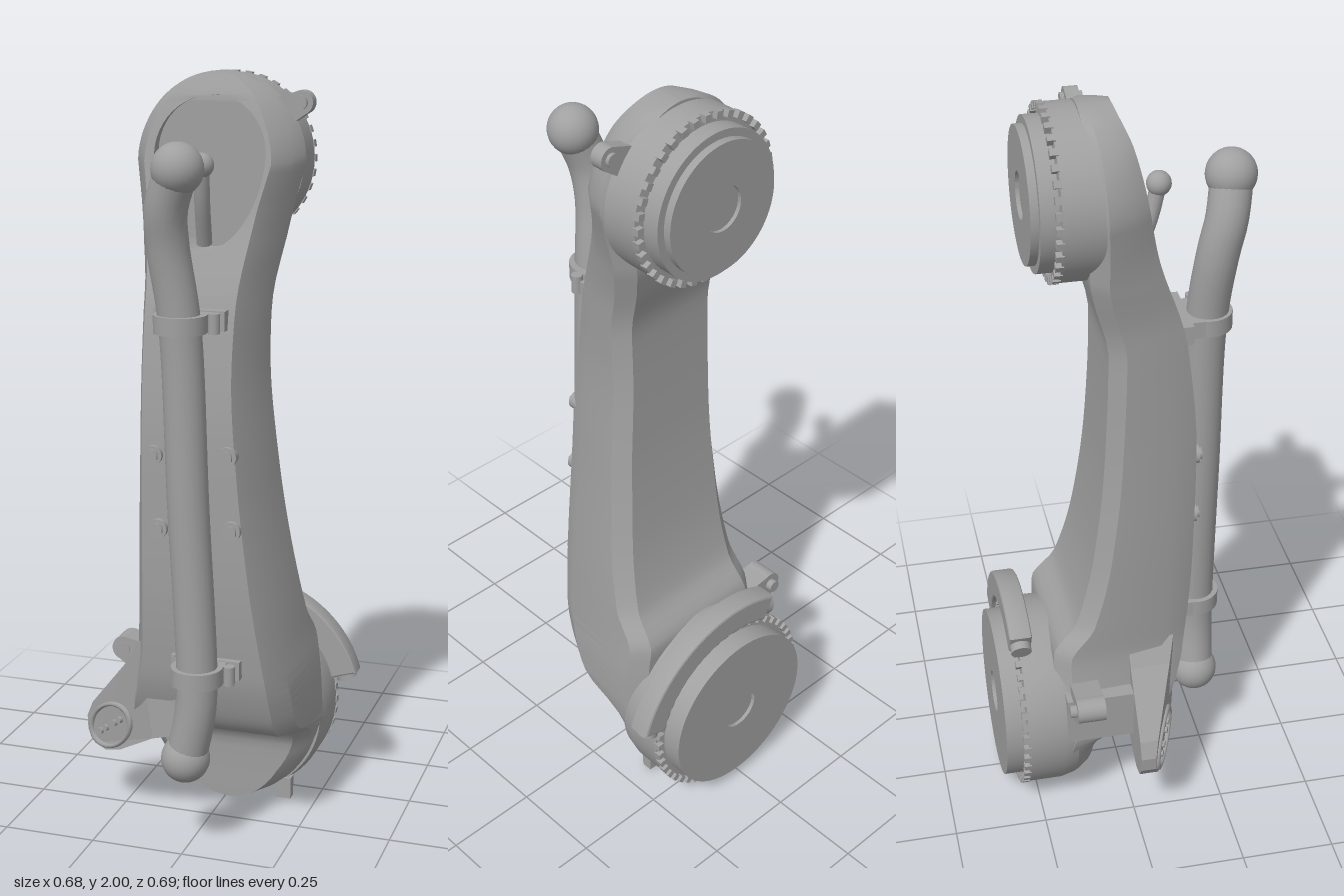
import * as THREE from 'three';
import { toCreasedNormals } from 'three/addons/utils/BufferGeometryUtils.js';

const grey = new THREE.MeshStandardMaterial({ color: 0xa0a0a0 });
grey.name = 'machine grey';

// Smooth interpolation through [y, value] pairs without overshoot
function along(table, y) {
  const n = table.length - 1;
  if (y <= table[0][0]) return table[0][1];
  if (y >= table[n][0]) return table[n][1];
  let i = 0;
  while (y > table[i + 1][0]) i++;
  const slope = k => (table[k + 1][1] - table[k][1]) / (table[k + 1][0] - table[k][0]);
  const tangent = k => {
    if (k === 0) return slope(0);
    if (k === n) return slope(n - 1);
    const a = slope(k - 1), b = slope(k);
    return a * b <= 0 ? 0 : (2 * a * b) / (a + b);
  };
  const h = table[i + 1][0] - table[i][0], t = (y - table[i][0]) / h;
  return (2 * t ** 3 - 3 * t * t + 1) * table[i][1] + (t ** 3 - 2 * t * t + t) * h * tangent(i)
    + (3 * t * t - 2 * t ** 3) * table[i + 1][1] + (t ** 3 - t * t) * h * tangent(i + 1);
}

const LOW = { x: 0.015, y: 0.265, r: 0.255 };
const TOP = { x: 0.01, y: 1.78, r: 0.22 };
const leftEdge = [[0.265, -0.24], [0.35, -0.225], [0.42, -0.205], [0.52, -0.187], [0.8, -0.175], [1.2, -0.165], [1.45, -0.165], [1.6, -0.185], [1.78, -0.21]];
const rightEdge = [[0.265, 0.27], [0.4, 0.262], [0.6, 0.235], [1, 0.18], [1.3, 0.156], [1.45, 0.16], [1.6, 0.185], [1.78, 0.23]];
const frontZ = [[0.01, -0.11], [0.19, -0.1], [0.235, -0.07], [0.3, 0.09], [0.36, 0.125], [0.47, 0.155], [0.75, 0.18], [1.07, 0.185], [1.4, 0.155], [1.66, 0.075], [1.93, 0.02], [2, -0.01]];
const backZ = [[0, -0.2], [0.5, -0.2], [0.6, -0.135], [0.81, -0.085], [1.1, -0.055], [1.4, -0.045], [1.55, -0.08], [1.62, -0.092], [2, -0.092]];

// Arm cross-section at height y, with a teardrop recess near the top
function section(y) {
  let xl = along(leftEdge, y), xr = along(rightEdge, y);
  for (const [c, end] of [[LOW, y < LOW.y], [TOP, y > TOP.y]]) if (end) {
    const w = Math.sqrt(Math.max(0, c.r ** 2 - (y - c.y) ** 2));
    xl = c.x - w; xr = c.x + w;
  }
  const f = along(frontZ, y), b = along(backZ, y), s = Math.min(1, (xr - xl) / 0.4);
  const d = Math.min(0.07, (f - b) * 0.35), e = Math.min(0.04, (f - b) * 0.25);
  const u = y > 1.8 ? ((y - 1.8) / 0.145) ** 2 : ((1.8 - y) / 0.23) ** 1.8;
  const h = u < 1 ? 0.145 * Math.sqrt(1 - u) : 0;
  const m = h ? TOP.x : (xl + xr) / 2, floor = h ? Math.min(f, 0.014) : f;
  return [[xl, b + e], [xl + 0.015 * s, f - d], [xl + 0.05 * s, f], [m - h, f], [m - h, floor], [m + h, floor],
    [m + h, f], [xr - 0.06 * s, f], [xr - 0.02 * s, f - d], [xr, b + e], [xr - 0.04 * s, b], [xl + 0.04 * s, b]]
    .map(([x, z]) => [x, y, z]);
}

function armGeometry() {
  const rows = [];
  const span = (a, b, n, ease) => { for (let i = 0; i < n; i++) rows.push(a + (b - a) * ease(i / n)); };
  const cosIn = t => 1 - Math.cos(t * Math.PI / 2), sinOut = t => Math.sin(t * Math.PI / 2);
  span(LOW.y - LOW.r, LOW.y, 16, cosIn);
  span(LOW.y, 0.6, 16, t => t);
  span(0.6, 1.57, 24, t => t);
  span(1.57, 1.8, 18, cosIn);
  span(1.8, 1.945, 12, sinOut);
  span(1.945, 2, 10, sinOut);
  rows.push(2);
  const rings = rows.map(section), pos = [];
  for (let i = 0; i < rings.length - 1; i++) for (let j = 0; j < 12; j++) {
    const k = (j + 1) % 12;
    const [a, b, c, d] = [rings[i][j], rings[i][k], rings[i + 1][k], rings[i + 1][j]];
    pos.push(...a, ...b, ...c, ...a, ...c, ...d);
  }
  const g = new THREE.BufferGeometry();
  g.setAttribute('position', new THREE.Float32BufferAttribute(pos, 3));
  return toCreasedNormals(g, 0.45);
}

export function createModel() {
  const model = new THREE.Group();
  model.name = 'jointedArmLink';
  const add = (name, geometry, x = 0, y = 0, z = 0, parent = model) => {
    const m = new THREE.Mesh(geometry, grey);
    m.name = name;
    m.position.set(x, y, z);
    parent.add(m);
    return m;
  };
  const disc = (r, depth, sides = 24) => new THREE.CylinderGeometry(r, r, depth, sides).rotateX(Math.PI / 2);

  add('armBody', armGeometry());

  // Joint drums turned about z, with toothed rims and a recessed centre
  const joint = (name, c, r, profile, teeth, toothZ) => {
    const g = new THREE.Group();
    g.name = name;
    g.position.set(c.x, c.y, 0);
    model.add(g);
    const lathe = new THREE.LatheGeometry(profile.map(p => new THREE.Vector2(...p)), 64).rotateX(-Math.PI / 2);
    add(name + 'Drum', toCreasedNormals(lathe, 0.5), 0, 0, 0, g);
    const tooth = new THREE.BoxGeometry(0.018, 0.018, 0.02);
    for (let i = 0; i < teeth; i++) {
      const a = (i / teeth) * Math.PI * 2;
      add('rimTooth', tooth, Math.cos(a) * (r - 0.006), Math.sin(a) * (r - 0.006), toothZ, g).rotation.z = a;
    }
  };
  joint('upperJoint', TOP, 0.213, [[0, 0.06], [0.213, 0.06], [0.213, 0.163], [0.187, 0.165], [0.187, 0.21],
    [0.167, 0.21], [0.167, 0.23], [0.058, 0.23], [0.058, 0.22], [0, 0.22]], 36, -0.168);
  joint('lowerJoint', LOW, 0.26, [[0, 0.15], [0.25, 0.15], [0.26, 0.19], [0.26, 0.287], [0.232, 0.29],
    [0.232, 0.345], [0.058, 0.345], [0.058, 0.335], [0, 0.335]], 46, -0.292);

  // Hose with ball ends
  const path = [[0.01, 1.79, 0.288], [-0.025, 1.69, 0.27], [-0.028, 1.6, 0.25], [-0.005, 1.41, 0.232], [0.015, 0.95, 0.23],
    [0.037, 0.5, 0.23], [0.033, 0.4, 0.23], [0.005, 0.26, 0.228]].map(p => new THREE.Vector3(...p));
  add('hose', new THREE.TubeGeometry(new THREE.CatmullRomCurve3(path), 60, 0.053, 20));
  const ball = new THREE.SphereGeometry(0.064, 28, 18);
  add('hoseUpperBall', ball, 0.01, 1.788, 0.286);
  add('hoseLowerBall', ball, 0.005, 0.267, 0.228);

  // Hose clamps
  for (const [x, y] of [[-0.004, 1.41], [0.037, 0.502]]) {
    const g = new THREE.Group();
    g.name = 'hoseClamp';
    g.position.set(x, y, 0.23);
    model.add(g);
    add('clampRing', new THREE.CylinderGeometry(0.067, 0.067, 0.045, 28), 0, 0, 0, g);
    add('clampFoot', new THREE.BoxGeometry(0.185, 0.05, 0.035), 0.005, 0, -0.068, g);
    add('clampNeck', new THREE.BoxGeometry(0.13, 0.045, 0.06), 0, 0, -0.04, g);
    add('clampScrew', new THREE.CylinderGeometry(0.015, 0.015, 0.05, 12), 0.08, 0, -0.02, g);
  }

  // Lever inside the teardrop recess
  const stem = new THREE.CatmullRomCurve3([new THREE.Vector3(0.01, 1.78, 0.108),
    new THREE.Vector3(0.004, 1.69, 0.085), new THREE.Vector3(-0.005, 1.58, 0.04)]);
  add('leverStem', new THREE.TubeGeometry(stem, 16, 0.02, 12));
  add('leverBall', new THREE.SphereGeometry(0.031, 20, 14), 0.01, 1.78, 0.108);

  // Front bolts
  for (const [x, y] of [[-0.092, 1.062], [0.104, 1.072], [-0.08, 0.87], [0.115, 0.88]]) {
    add('boltWasher', disc(0.025, 0.03), x, y, 0.182);
    add('boltHead', disc(0.017, 0.03, 6), x, y, 0.19);
  }

  // Lugs with a rounded tip and a pin
  const lug = (name, x, y, angle, r, length, width, z, depth, pinZ) => {
    const s = new THREE.Shape();
    s.moveTo(-length, -width);
    s.lineTo(0, -r);
    s.absarc(0, 0, r, -Math.PI / 2, Math.PI / 2, false);
    s.lineTo(-length, width);
    const g = new THREE.Group();
    g.name = name;
    g.position.set(x, y, 0);
    g.rotation.z = angle;
    model.add(g);
    add(name + 'Plate', new THREE.ExtrudeGeometry(s, { depth, bevelEnabled: false, curveSegments: 12 }), 0, 0, z, g);
    add(name + 'Pin', disc(0.017, depth + 0.02, 16), 0, 0, pinZ, g);
  };
  lug('upperLug', 0.217, 1.925, 0.45, 0.03, 0.1, 0.045, -0.083, 0.035, -0.065);
  lug('lowerLug', -0.286, 0.42, 2.75, 0.034, 0.15, 0.07, -0.165, 0.075, -0.135);

  // Side ear: a flat-backed plate whose front slopes toward the arm
  const earShape = new THREE.Shape([[-0.16, 0.53], [-0.2, 0.465], [-0.325, 0.31], [-0.345, 0.265], [-0.343, 0.225], [-0.32, 0.192],
    [-0.28, 0.183], [-0.23, 0.2], [-0.12, 0.265], [-0.02, 0.29], [-0.06, 0.5]].map(p => new THREE.Vector2(...p)));
  const ear = new THREE.ExtrudeGeometry(earShape, { depth: 1, bevelEnabled: false });
  const slope = x => Math.min(0.135, 0.04 + (x + 0.345) * 0.46);
  const p = ear.attributes.position;
  for (let i = 0; i < p.count; i++) p.setZ(i, p.getZ(i) * slope(p.getX(i)));
  ear.computeVertexNormals();
  add('sideEar', ear);
  add('earBridge', new THREE.BoxGeometry(0.12, 0.14, 0.2), -0.18, 0.34, -0.08);

  // Oval pad on the ear
  const pad = new THREE.Group();
  pad.name = 'earPad';
  pad.position.set(-0.262, 0.262, slope(-0.262));
  pad.rotation.set(0, -Math.atan(0.46), 0);
  model.add(pad);
  const oval = new THREE.Group();
  oval.rotation.z = 0.62;
  oval.name = 'ovalPad';
  pad.add(oval);
  add('padRim', new THREE.TorusGeometry(0.074, 0.008, 8, 36).scale(1.12, 0.75, 1), 0, 0, 0, oval);
  for (const x of [-0.045, -0.02, 0.02, 0.045]) add('padPin', disc(0.009, 0.012, 12), x, 0, 0.002, oval);

  // Curved guard over the lower rim
  const a0 = 0.3, a1 = 2.02, band = new THREE.Shape();
  band.absarc(0, 0, 0.33, a0, a1, false);
  band.absarc(0, 0, 0.268, a1, a0, true);
  add('rimGuard', toCreasedNormals(new THREE.ExtrudeGeometry(band, { depth: 0.045, bevelThickness: 0.008, bevelSize: 0.006,
    bevelSegments: 2, curveSegments: 32 }), 0.5), LOW.x, LOW.y, -0.307);
  for (const [a, r] of [[a0 + 0.03, 0.298], [a1, 0.295]]) {
    const knob = add('guardKnob', new THREE.CylinderGeometry(0.028, 0.028, 0.055, 20),
      LOW.x + Math.cos(a) * r, LOW.y + Math.sin(a) * r, -0.285);
    knob.rotation.z = a;
  }

  // Stop block under the lower joint
  add('stopBlock', new THREE.BoxGeometry(0.045, 0.06, 0.03), 0.163, 0.042, -0.155);
  return model;
}
